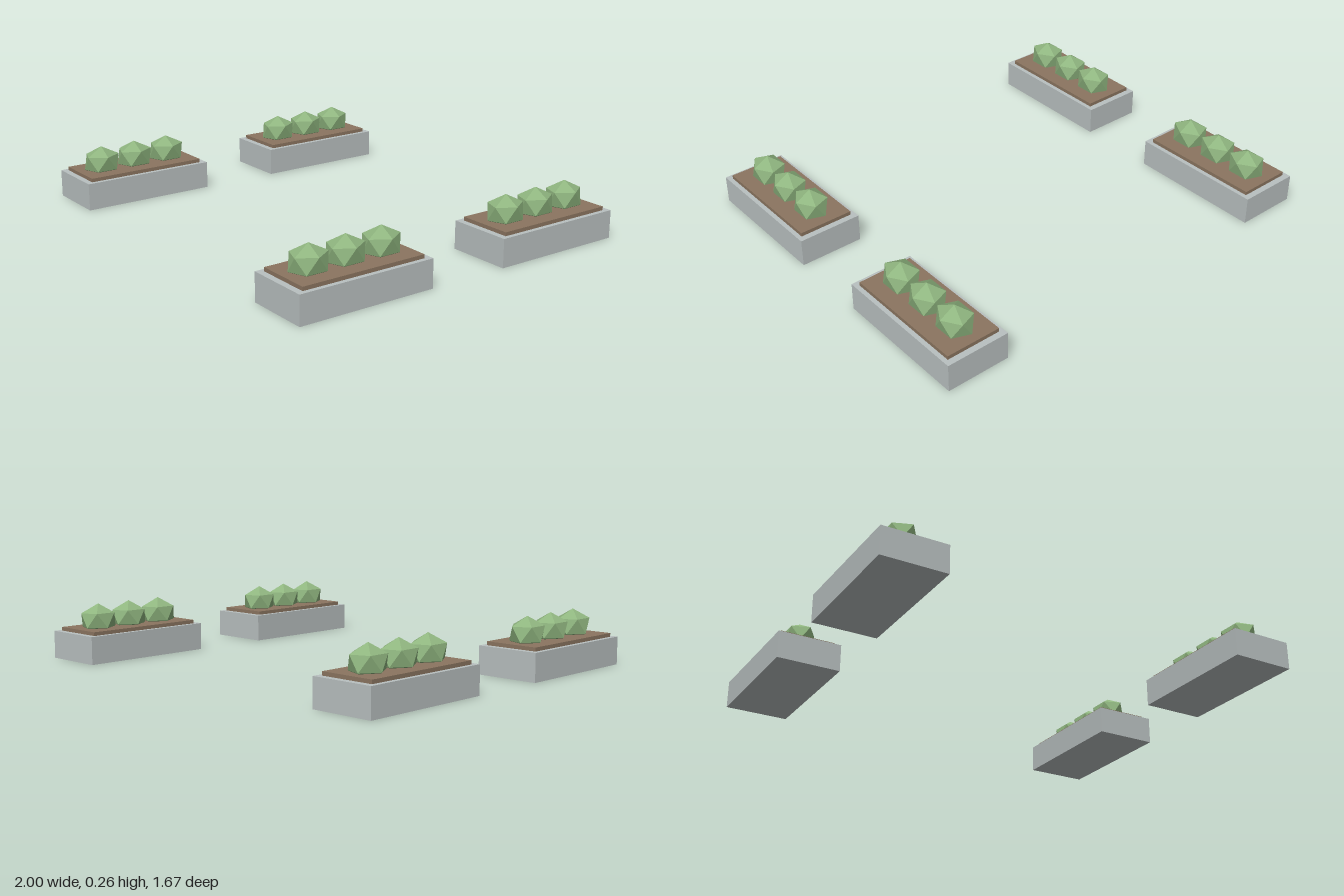
import * as THREE from 'three';

const concrete = new THREE.MeshStandardMaterial({ name: 'concrete', color: 0xb9c0c0 });
const soilBrown = new THREE.MeshStandardMaterial({ name: 'soil brown', color: 0x8b7560 });
const leafGreen = new THREE.MeshStandardMaterial({ name: 'leaf green', color: 0x8fb57f });
leafGreen.flatShading = true;

function addPart(parent, name, geometry, material, x, y, z) {
  const mesh = new THREE.Mesh(geometry, material);
  mesh.name = name;
  mesh.position.set(x, y, z);
  parent.add(mesh);
}

export function createModel() {
  const model = new THREE.Group();
  model.name = 'planters';

  const troughGeometry = new THREE.BoxGeometry(0.296, 0.128, 0.644);
  const soilGeometry = new THREE.BoxGeometry(0.254, 0.03, 0.586);

  // Faceted shrub: icosahedron turned so one corner points straight up, then squashed
  const shrubGeometry = new THREE.IcosahedronGeometry(1, 0);
  shrubGeometry.rotateZ(-Math.atan(2 / (1 + Math.sqrt(5))));
  shrubGeometry.scale(0.08, 0.075, 0.094);

  // Four planters, one at each corner
  for (const x of [-0.852, 0.852]) {
    for (const z of [-0.513, 0.513]) {
      const planter = new THREE.Group();
      planter.name = (z > 0 ? 'front' : 'back') + (x > 0 ? 'Left' : 'Right') + 'Planter';
      planter.position.set(x, 0, z);
      addPart(planter, 'trough', troughGeometry, concrete, 0, 0.064, 0);
      addPart(planter, 'soil', soilGeometry, soilBrown, 0, 0.13, 0);
      // Row of three shrubs
      for (const offset of [-0.176, 0, 0.176]) {
        addPart(planter, 'shrub', shrubGeometry, leafGreen, 0, 0.182, offset);
      }
      model.add(planter);
    }
  }
  return model;
}
